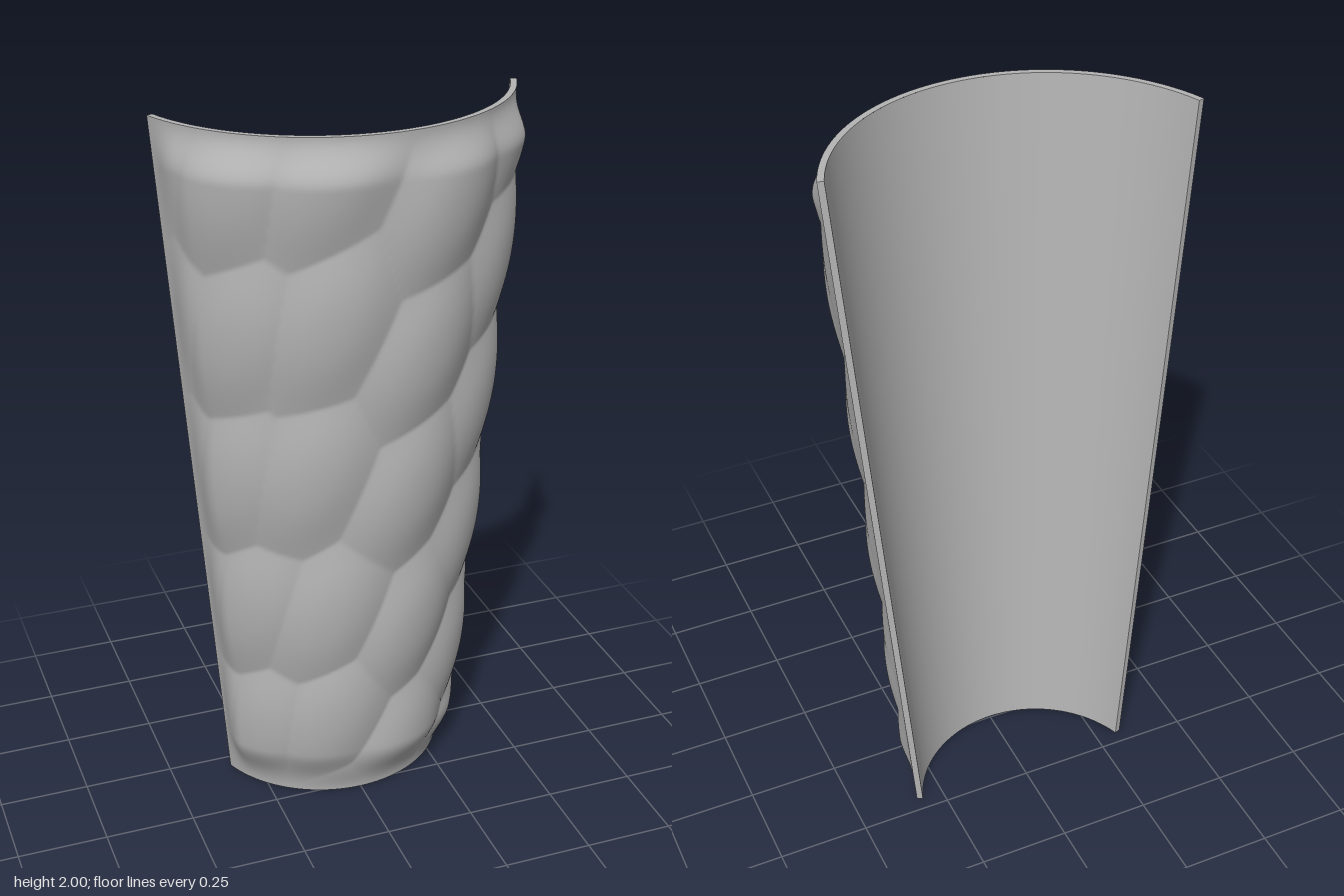
import * as THREE from 'three';

const HEIGHT = 2, AXIS_Z = -0.326, HALF = THREE.MathUtils.degToRad(70.2);
const WALL = 0.017, BUMP = 0.052;

// Centres of the slanted bumps: [angle in degrees from the front, height]
const cells = [
  [-72, 1.88], [-42, 1.86], [-16, 1.9], [21, 1.8], [54, 1.98],
  [-70, 1.45], [-44, 1.45], [-16, 1.5], [16, 1.4], [49, 1.6],
  [-74, 1.02], [-50, 1.02], [-23, 1.06], [14, 1.0], [47, 1.2],
  [-72, 0.6], [-47, 0.62], [-17, 0.62], [18, 0.56], [48, 0.8],
  [-72, 0.2], [-46, 0.22], [-16, 0.27], [20, 0.14], [49, 0.4],
  [70, 1.75], [72, 1.35], [72, 0.97], [72, 0.58], [72, 0.2],
  [50, 0.0], [-14, -0.12], [22, 2.25],
].map(([deg, y]) => [THREE.MathUtils.degToRad(deg), y]);

const innerRadius = (y) => 0.33 + 0.0875 * y;

// Height of the bump field: the tallest of the sheared domes, faded out at the borders
function bump(angle, y) {
  const r = innerRadius(y) + WALL;
  let nearest = Infinity;
  for (const [a, cy] of cells) {
    const v = y - cy;
    const u = (angle - a) * r - 0.27 * v;
    nearest = Math.min(nearest, (u / 0.17) ** 2 + (v / 0.25) ** 2);
  }
  const dome = 1 / (1 + 0.55 * nearest + 0.75 * nearest * nearest);
  const fade = THREE.MathUtils.smoothstep(HALF - Math.abs(angle), 0, 0.3)
    * THREE.MathUtils.smoothstep(y, 0, 0.16)
    * THREE.MathUtils.smoothstep(HEIGHT - y, 0, 0.12);
  return BUMP * dome * fade;
}

function place(angle, y, radius) {
  return [radius * Math.sin(angle), y, AXIS_Z + radius * Math.cos(angle)];
}
const inner = (a, y) => place(a, y, innerRadius(y));
const outer = (a, y) => place(a, y, innerRadius(y) + WALL + bump(a, y));

// Grid surface from a point function of u and v in 0..1
function surface(name, nu, nv, point, material) {
  const positions = [], index = [];
  for (let j = 0; j <= nv; j++) {
    for (let i = 0; i <= nu; i++) {
      positions.push(...point(i / nu, j / nv));
      if (i === nu || j === nv) continue;
      const a = j * (nu + 1) + i, b = a + 1, c = a + nu + 1, d = c + 1;
      index.push(a, b, d, a, d, c);
    }
  }
  const geometry = new THREE.BufferGeometry();
  geometry.setAttribute('position', new THREE.Float32BufferAttribute(positions, 3));
  geometry.setIndex(index);
  geometry.computeVertexNormals();
  const mesh = new THREE.Mesh(geometry, material);
  mesh.name = name;
  return mesh;
}

export function createModel() {
  const grey = new THREE.MeshStandardMaterial({ color: 0xb4b4b4 });
  grey.name = 'plain grey';
  const group = new THREE.Group();
  group.name = 'curvedShell';

  const angle = (u) => (2 * u - 1) * HALF;
  const mix = (p, q, t) => p.map((value, k) => value + (q[k] - value) * t);

  group.add(
    // Bumpy front and plain tapered back
    surface('bumpyFront', 140, 240, (u, v) => outer(angle(u), v * HEIGHT), grey),
    surface('smoothBack', 96, 8, (u, v) => inner(angle(1 - u), v * HEIGHT), grey),
    // Thin wall edges
    surface('topRim', 140, 1, (u, v) => mix(outer(angle(u), HEIGHT), inner(angle(u), HEIGHT), v), grey),
    surface('bottomRim', 140, 1, (u, v) => mix(inner(angle(u), 0), outer(angle(u), 0), v), grey),
    surface('leftEdge', 1, 8, (u, v) => mix(outer(HALF, v * HEIGHT), inner(HALF, v * HEIGHT), u), grey),
    surface('rightEdge', 1, 8, (u, v) => mix(inner(-HALF, v * HEIGHT), outer(-HALF, v * HEIGHT), u), grey),
  );
  return group;
}
